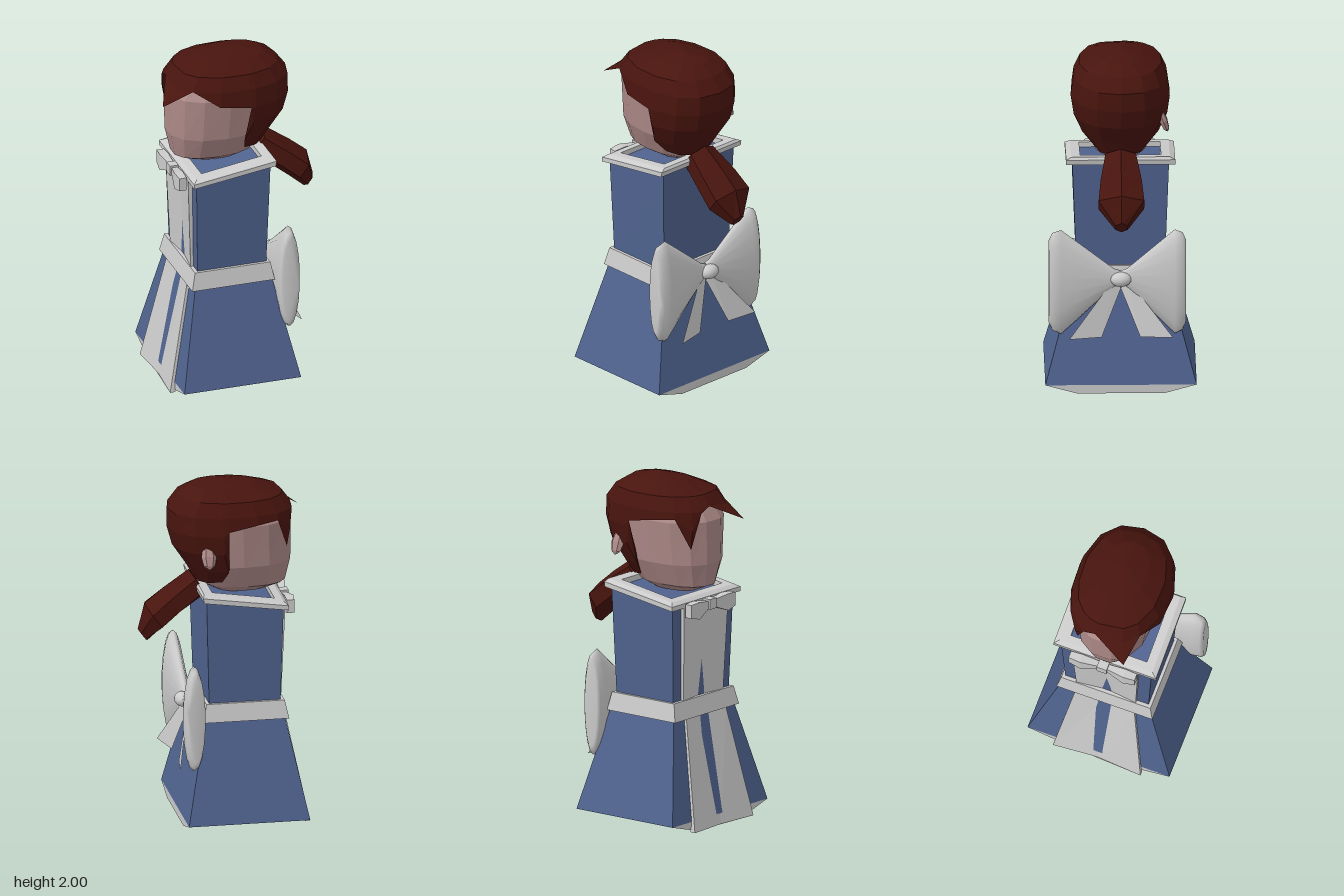
import * as THREE from 'three';

const V = (x, y, z) => new THREE.Vector3(x, y, z);
const mat = (color, flatShading = true) =>
  new THREE.MeshStandardMaterial({ color, flatShading, side: THREE.DoubleSide });
const GREY = mat(0xcccccc), SMOOTH = mat(0xcccccc, false);
const BLUE = mat(0x50638f), HAIR = mat(0x48140e), SKIN = mat(0xad8a88);

// Skin a stack of equal-length rings, optionally closing the ends.
function loft(rings, capStart = true, capEnd = true) {
  const n = rings[0].length, index = [];
  for (let i = 0; i < rings.length - 1; i++) {
    for (let j = 0; j < n; j++) {
      const a = i * n + j, b = i * n + (j + 1) % n;
      index.push(a, a + n, b, b, a + n, b + n);
    }
  }
  const last = (rings.length - 1) * n;
  for (let j = 1; j < n - 1; j++) {
    if (capStart) index.push(0, j, j + 1);
    if (capEnd) index.push(last, last + j + 1, last + j);
  }
  const g = new THREE.BufferGeometry().setFromPoints(rings.flat());
  g.setIndex(index);
  g.computeVertexNormals();
  return g;
}

// Rectangle whose height runs from y0 at x0 to y1 at x1.
const rect = (x0, x1, z, y0, y1 = y0) =>
  [V(x1, y1, -z), V(x1, y1, z), V(x0, y0, z), V(x0, y0, -z)];

// Slightly boxy oval around the vertical axis.
function oval(t, [y, x0, x1, rz]) {
  const c = Math.cos(t), s = Math.sin(t);
  const box = (v) => Math.sign(v) * Math.pow(Math.abs(v), 0.85);
  return V((x0 + x1) / 2 + box(c) * (x1 - x0) / 2, y, box(s) * rz);
}

// Interpolated hair outline at a given height.
const hairLevels = [
  [1.41, -0.2, 0.15, 0.14], [1.5, -0.36, 0.2, 0.22], [1.62, -0.4, 0.28, 0.27],
  [1.73, -0.42, 0.31, 0.285], [1.84, -0.41, 0.31, 0.27], [1.92, -0.35, 0.25, 0.235],
  [1.97, -0.2, 0.17, 0.13], [2, -0.02, 0.02, 0.01],
];
function hairLevel(y) {
  let i = 0;
  while (i < hairLevels.length - 2 && y > hairLevels[i + 1][0]) i++;
  const a = hairLevels[i], b = hairLevels[i + 1], f = (y - a[0]) / (b[0] - a[0]);
  return a.map((v, k) => v + (b[k] - v) * f);
}

function hairGeometry() {
  // Each column is an angle and the height of the hairline there.
  const columns = [
    [0, 1.41], [25, 1.41], [52, 1.41], [78, 1.42], [82, 1.73], [105, 1.755],
    [134, 1.845], [156, 1.78], [186, 1.86], [200, 1.83], [212, 1.62], [232, 1.8],
    [255, 1.79], [276, 1.76], [281, 1.42], [308, 1.41], [335, 1.41],
  ];
  const rings = hairLevels.map((level) => columns.map(([deg, low]) =>
    oval(deg * Math.PI / 180, hairLevel(Math.max(level[0], low)))));
  // Pull the swept fringe out to a point.
  rings.forEach((r, i) => { if (hairLevels[i][0] < 1.78) r[7].set(-0.48, 1.76, 0.165); });
  return loft(rings, false, true);
}

// Oval rings stacked along z, mirrored by side; each is [z, cx, cy, rx, ry].
const sideLoft = (rows, side, sides) => loft(rows.map(([z, cx, cy, rx, ry]) =>
  Array.from({ length: sides }, (_, k) => {
    const t = -side * (k + 0.5) / sides * Math.PI * 2;
    return V(cx + rx * Math.cos(t), cy + ry * Math.sin(t), z * side);
  })));

export function createModel() {
  const model = new THREE.Group();
  const add = (name, geometry, material, parent = model) => {
    const m = new THREE.Mesh(geometry, material);
    m.name = name;
    parent.add(m);
    return m;
  };
  const group = (name) => {
    const g = new THREE.Group();
    g.name = name;
    model.add(g);
    return g;
  };

  // Dress
  add('skirt', loft([rect(-0.44, 0.26, 0.43, 0.06), rect(-0.32, 0.135, 0.27, 0.65)], false), BLUE);
  add('skirtUnderside', loft([rect(-0.44, 0.26, 0.25, 0.01), rect(-0.44, 0.26, 0.43, 0.06)], true, false), GREY);
  add('bodice', loft([rect(-0.3, 0.11, 0.25, 0.68), rect(-0.315, 0.13, 0.275, 1.3, 1.365)]), BLUE);
  add('belt', loft([rect(-0.345, 0.15, 0.29, 0.63), rect(-0.322, 0.13, 0.27, 0.735)]), GREY);

  // Collar: a sloping bevelled frame
  add('collar', loft([
    rect(-0.31, 0.12, 0.27, 1.285, 1.35),
    rect(-0.34, 0.15, 0.31, 1.285, 1.355),
    rect(-0.34, 0.155, 0.31, 1.312, 1.385),
    rect(-0.315, 0.145, 0.28, 1.33, 1.4),
    rect(-0.27, 0.09, 0.23, 1.337, 1.392),
    rect(-0.27, 0.09, 0.23, 1.3, 1.35),
  ], false, false), GREY);

  // Apron: slightly folded along its middle
  const apronRing = ([y, x, w]) => [V(x + 0.03, y, -w), V(x + 0.03, y, w),
    V(x, y, w), V(x + 0.02, y, 0), V(x, y, -w)];
  add('apron', loft([[0, -0.47, 0.265], [0.63, -0.34, 0.18], [0.73, -0.318, 0.18],
    [1.29, -0.34, 0.2]].map(apronRing)), GREY);

  // Head and hair
  const faceLevels = [[1.34, -0.26, 0.02, 0.08], [1.385, -0.37, 0.1, 0.15],
    [1.52, -0.4, 0.2, 0.21], [1.77, -0.4, 0.22, 0.235], [1.88, -0.33, 0.2, 0.19]];
  add('head', loft(faceLevels.map((level) => Array.from({ length: 14 }, (_, k) =>
    oval((k + 0.5) / 14 * Math.PI * 2, level)))), SKIN);
  add('hair', hairGeometry(), HAIR);
  const ear = add('ear', new THREE.SphereGeometry(1, 6, 4), SKIN);
  ear.scale.set(0.045, 0.075, 0.025);
  ear.position.set(0.11, 1.61, -0.243);
  ear.rotation.x = 0.35;

  // Ponytail: six-sided rings along a drooping line
  const tailRing = ([x, y, h, w]) => Array.from({ length: 6 }, (_, k) => {
    const t = k * Math.PI / 3;
    return V(x + 0.6 * h * Math.cos(t), y + 0.8 * h * Math.cos(t), -w * Math.sin(t));
  });
  add('ponytail', loft([[0.13, 1.39, 0.09, 0.1], [0.28, 1.285, 0.09, 0.135],
    [0.385, 1.2, 0.09, 0.15], [0.45, 1.085, 0.045, 0.04]].map(tailRing)), HAIR);

  // Large bow at the back of the waist
  const bow = group('backBow');
  for (const side of [1, -1]) {
    const k = side > 0 ? 1 : 0.9;
    const rows = [[0, 0.185, 0.685, 0.03, 0.04], [0.04, 0.19, 0.685, 0.032, 0.055],
      [0.34, 0.21, 0.668, 0.063, 0.315], [0.39, 0.208, 0.67, 0.058, 0.295],
      [0.41, 0.205, 0.67, 0.045, 0.25]];
    add('bowLoop', sideLoft(rows.map(([z, ...rest]) => [z * k, ...rest]), side, 18), SMOOTH, bow);
    const end = side > 0 ? 0.31 : 0.285;
    const ribbon = new THREE.BufferGeometry().setFromPoints([V(0.19, 0.69, side * 0.03),
      V(0.19, 0.62, 0), V(0.26, 0.35, side * 0.11), V(end, 0.355, side * 0.295)]);
    ribbon.setIndex(side > 0 ? [0, 2, 1, 0, 3, 2] : [0, 1, 2, 0, 2, 3]);
    ribbon.computeVertexNormals();
    add('bowTail', ribbon, GREY, bow);
  }
  const knot = add('bowKnot', new THREE.SphereGeometry(1, 16, 10), SMOOTH, bow);
  knot.scale.set(0.045, 0.042, 0.06);
  knot.position.set(0.22, 0.685, 0);

  // Small bow on the collar
  const neckBow = group('collarBow');
  for (const side of [1, -1]) {
    add('collarBowLoop', sideLoft([[0, -0.36, 1.28, 0.02, 0.02],
      [0.13, -0.372, 1.265, 0.037, 0.07], [0.2, -0.37, 1.27, 0.03, 0.055]], side, 4), GREY, neckBow);
  }
  add('collarBowKnot', new THREE.BoxGeometry(0.05, 0.06, 0.06), GREY, neckBow).position.set(-0.365, 1.28, 0);

  return model;
}
